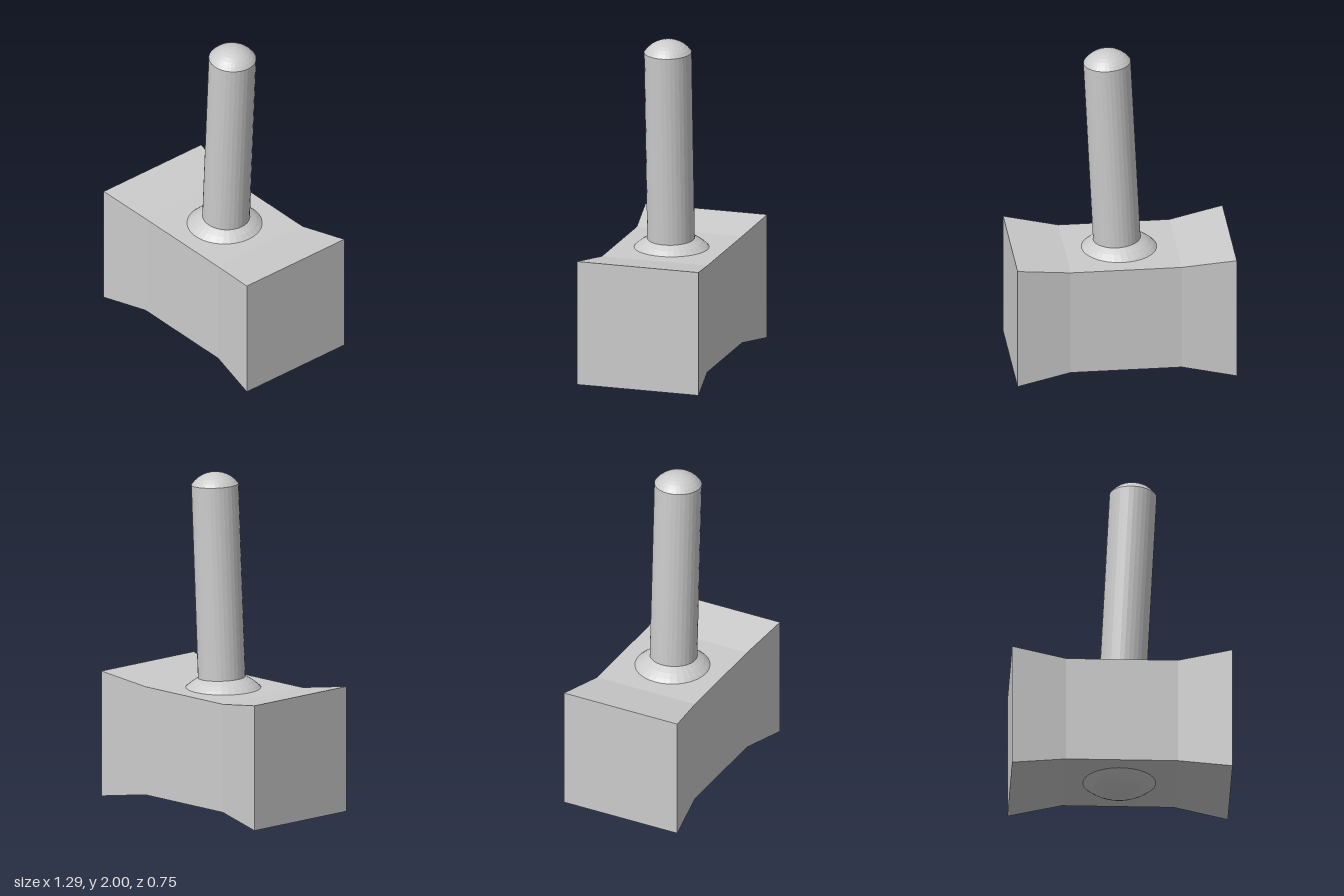
import * as THREE from 'three';

const material = new THREE.MeshStandardMaterial({ color: 0xcccccc, flatShading: true });

function part(name, geometry, parent) {
  const mesh = new THREE.Mesh(geometry, material);
  mesh.name = name;
  parent.add(mesh);
  return mesh;
}

// Square block, straight in the middle and flaring towards both striking faces
function headGeometry() {
  const geometry = new THREE.BoxGeometry(3, 2, 2, 3, 1, 1);
  const p = geometry.attributes.position;
  for (let i = 0; i < p.count; i++) {
    const x = p.getX(i);
    const isEnd = Math.abs(x) > 1;
    const half = isEnd ? 0.373 : 0.323;
    p.setXYZ(i, Math.sign(x) * (isEnd ? 0.643 : 0.326), p.getY(i) * half, p.getZ(i) * half);
  }
  geometry.computeVertexNormals();
  return geometry;
}

// Spherical cap of the given rim radius and height, rim at y = 0
function domeGeometry(rim, height, rings) {
  const radius = (rim * rim + height * height) / (2 * height);
  const angle = Math.asin(rim / radius);
  const geometry = new THREE.SphereGeometry(radius, 32, rings, 0, Math.PI * 2, 0, angle);
  return geometry.translate(0, height - radius, 0);
}

export function createModel() {
  const model = new THREE.Group();
  model.name = 'hammer';

  part('head', headGeometry(), model).position.y = 0.404;

  // Handle assembly leans slightly about the centre of the head
  const handle = new THREE.Group();
  handle.name = 'handle';
  handle.position.y = 0.404;
  handle.rotation.z = -0.05;
  model.add(handle);

  const shaft = part('shaft', new THREE.CylinderGeometry(0.139, 0.139, 1.526, 32, 1, true), handle);
  shaft.position.y = 0.763;

  part('handleCap', domeGeometry(0.139, 0.072, 6), handle).position.y = 1.526;

  // Matching domes bulge out above and below the head
  const collar = part('collar', domeGeometry(0.26, 0.139, 8), handle);
  collar.position.y = 0.275;
  const butt = part('bottomDome', domeGeometry(0.26, 0.132, 8), handle);
  butt.rotation.x = Math.PI;
  butt.position.y = -0.272;

  return model;
}
